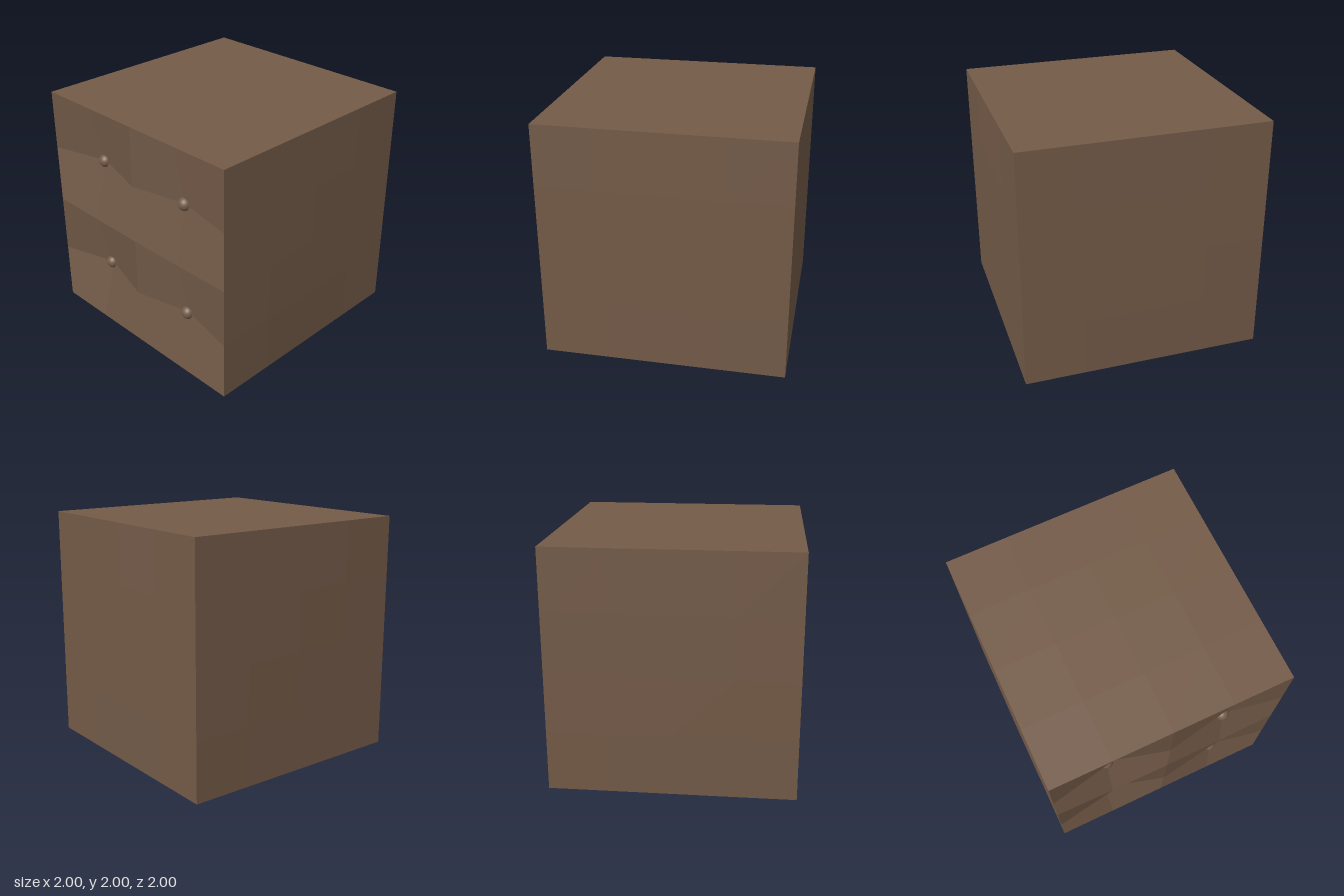
import * as THREE from 'three';

const HALF = 0.99;   // half size at the cube edges
const BULGE = 0.01;  // slight swell at the middle of each face
const CELLS = 4;

// Knob centres on the front; each sits at the bottom of a shallow dent
const KNOBS = [
  [-0.49, 1.5, 0.865], [0.5, 1.505, 0.905],
  [-0.505, 0.515, 0.855], [0.5, 0.52, 0.9],
];

// One cube face: a grid of quads, each with a single flat normal
function faceGeometry(pointAt) {
  const positions = [], normals = [], indices = [];
  for (let j = 0; j < CELLS; j++) {
    for (let i = 0; i < CELLS; i++) {
      const [a, b, c, d] = [[i, j], [i + 1, j], [i + 1, j + 1], [i, j + 1]].map(([p, q]) => pointAt(p, q));
      const n = c.clone().sub(a).cross(d.clone().sub(b)).normalize();
      const base = positions.length / 3;
      for (const p of [a, b, c, d]) {
        positions.push(p.x, p.y, p.z);
        normals.push(n.x, n.y, n.z);
      }
      indices.push(base, base + 1, base + 2, base, base + 2, base + 3);
    }
  }
  const geometry = new THREE.BufferGeometry();
  geometry.setAttribute('position', new THREE.Float32BufferAttribute(positions, 3));
  geometry.setAttribute('normal', new THREE.Float32BufferAttribute(normals, 3));
  geometry.setIndex(indices);
  return geometry;
}

// Gently swollen face, facing +z before it is turned into place
function swollenPoint(i, j) {
  const u = (i / CELLS) * 2 - 1, v = (j / CELLS) * 2 - 1;
  return new THREE.Vector3(u * HALF, v * HALF, HALF + BULGE * (1 - u * u) * (1 - v * v));
}

// Front face: the centre of each quarter is pushed in to meet its knob
function frontPoint(i, j) {
  if (i % 2 && j % 2) {
    const [x, y, z] = KNOBS[(j === 3 ? 0 : 2) + (i === 3 ? 1 : 0)];
    return new THREE.Vector3(x, y - 1, z);
  }
  return swollenPoint(i, j);
}

export function createModel() {
  const model = new THREE.Group();
  model.name = 'cabinet';
  const wood = new THREE.MeshStandardMaterial({ color: 0x745b48 });
  wood.name = 'brown wood';

  // Body faces
  const q = Math.PI / 2;
  const faces = [
    ['drawerFront', 0, 0], ['leftSide', 0, q], ['back', 0, 2 * q],
    ['rightSide', 0, -q], ['top', -q, 0], ['bottom', q, 0],
  ];
  for (const [name, rx, ry] of faces) {
    const mesh = new THREE.Mesh(faceGeometry(name === 'drawerFront' ? frontPoint : swollenPoint), wood);
    mesh.name = name;
    mesh.rotation.set(rx, ry, 0);
    mesh.position.y = 1;
    model.add(mesh);
  }

  // Round drawer knobs
  const knobGeometry = new THREE.SphereGeometry(0.055, 32, 16);
  for (const [x, y, z] of KNOBS) {
    const knob = new THREE.Mesh(knobGeometry, wood);
    knob.name = 'knob';
    knob.position.set(x, y, z);
    model.add(knob);
  }
  return model;
}
